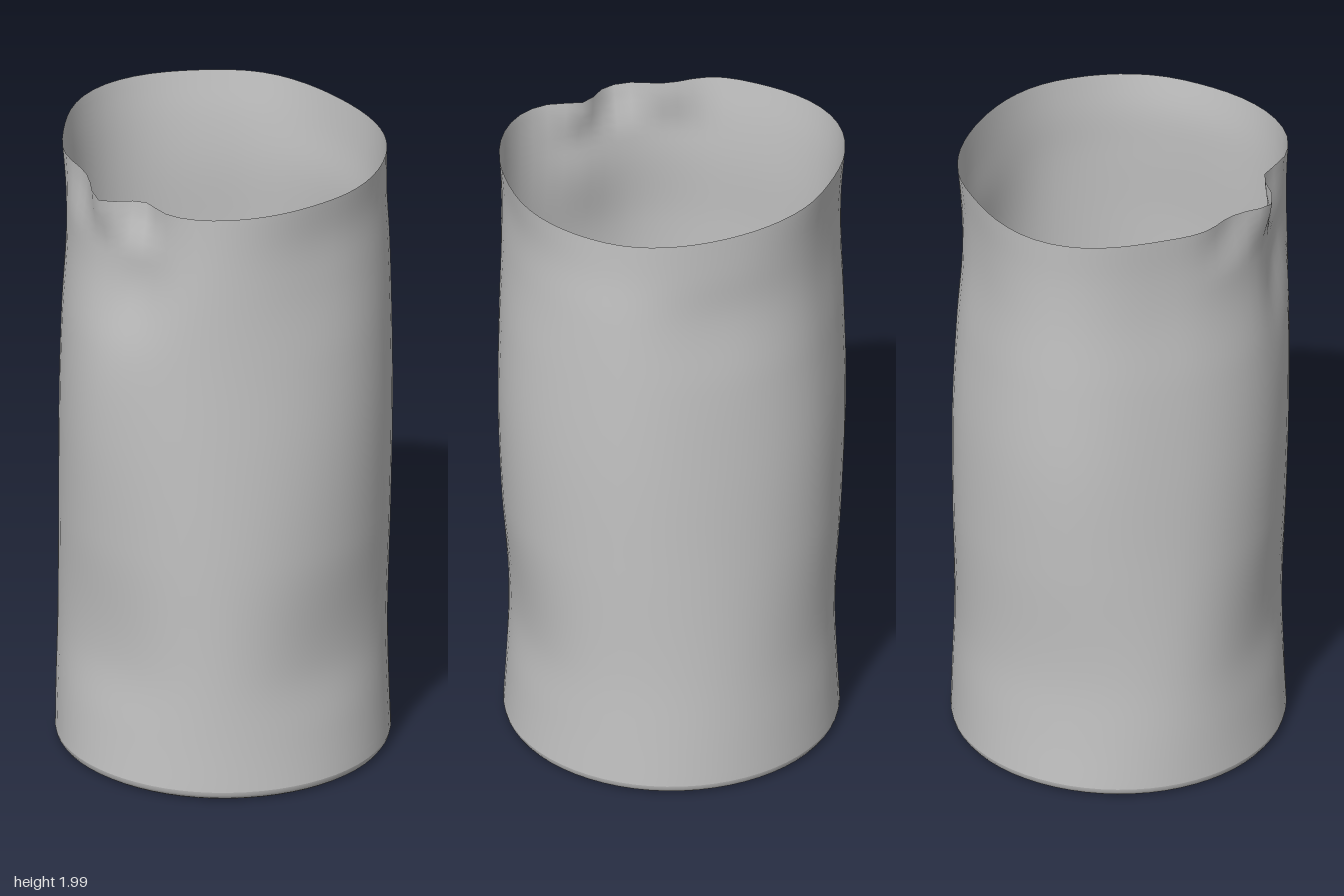
import * as THREE from 'three';

const SIDES = 64;

// Wall radius in eight directions by height: left (+x), left front, front (+z),
// right front, right (-x), right back, back (-z), left back
const HEIGHTS = [0.04, 0.2, 0.4, 0.8, 1.15, 1.45, 1.7, 1.85, 2.0];
const RADII = [
  0.515, 0.515, 0.510, 0.512, 0.510, 0.512, 0.510, 0.512,
  0.500, 0.512, 0.495, 0.510, 0.500, 0.506, 0.507, 0.506,
  0.482, 0.512, 0.476, 0.505, 0.495, 0.498, 0.502, 0.502,
  0.520, 0.522, 0.500, 0.502, 0.522, 0.512, 0.497, 0.512,
  0.535, 0.527, 0.513, 0.500, 0.538, 0.515, 0.492, 0.518,
  0.526, 0.530, 0.505, 0.492, 0.535, 0.500, 0.482, 0.515,
  0.506, 0.535, 0.478, 0.478, 0.528, 0.482, 0.465, 0.508,
  0.500, 0.538, 0.475, 0.480, 0.530, 0.485, 0.472, 0.500,
  0.515, 0.542, 0.475, 0.492, 0.540, 0.500, 0.477, 0.500,
];
const profile = new THREE.CubicInterpolant(HEIGHTS, RADII, 8);

const bump = (d, width) => Math.exp(-(d * d) / (width * width));

// Smallest signed angle between two directions
const turn = (a, b) => Math.atan2(Math.sin(a - b), Math.cos(a - b));

function wallRadius(a, y) {
  const radii = profile.evaluate(y);
  const k = a / (Math.PI / 4), i = Math.floor(k);
  const w = (1 - Math.cos((k - i) * Math.PI)) / 2;
  let r = THREE.MathUtils.lerp(radii[i % 8], radii[(i + 1) % 8], w);
  // slanting dent and the pinched folds of the mouth, at the front
  const front = turn(a, Math.PI / 2);
  const mouth = THREE.MathUtils.smoothstep(y, 1.78, 1.96);
  r -= 0.025 * bump(front + 0.25 + (y - 1.6) * 0.6, 0.2) * bump(y - 1.72, 0.2);
  r += mouth * (0.035 * bump(front, 0.14) - 0.045 * bump(front + 0.29, 0.15)
    - 0.025 * bump(front - 0.35, 0.18));
  return r;
}

// Height of the uneven mouth edge
function rimHeight(a) {
  const front = turn(a, Math.PI / 2);
  return 1.985 - 0.009 * Math.cos(a) - 0.025 * bump(front, 0.6)
    - 0.01 * bump(front, 0.1) + 0.008 * bump(turn(a, -2.2), 0.5);
}

// Joins rings of points into one smooth surface
function ringSurface(rows, point) {
  const pos = [], index = [];
  for (let j = 0; j <= rows; j++)
    for (let i = 0; i < SIDES; i++) pos.push(...point((i / SIDES) * Math.PI * 2, j / rows));
  for (let j = 0; j < rows; j++)
    for (let i = 0; i < SIDES; i++) {
      const a = j * SIDES + i, b = j * SIDES + ((i + 1) % SIDES);
      index.push(a, a + SIDES, b, b, a + SIDES, b + SIDES);
    }
  const g = new THREE.BufferGeometry();
  g.setAttribute('position', new THREE.Float32BufferAttribute(pos, 3));
  g.setIndex(index);
  g.computeVertexNormals();
  return g;
}

export function createModel() {
  const group = new THREE.Group();
  const grey = new THREE.MeshStandardMaterial({ color: 0xc4c4c4, side: THREE.DoubleSide });
  grey.name = 'light grey';
  const add = (name, geometry) => {
    const mesh = new THREE.Mesh(geometry, grey);
    mesh.name = name;
    group.add(mesh);
  };

  // Crumpled open wall
  add('wall', ringSurface(60, (a, t) => {
    const y = THREE.MathUtils.lerp(0.04, rimHeight(a), t);
    const r = wallRadius(a, y);
    return [r * Math.cos(a), y, r * Math.sin(a)];
  }));

  // Rounded lower edge
  add('baseEdge', ringSurface(4, (a, t) => {
    const q = t * Math.PI / 2;
    const r = wallRadius(a, 0.04) - 0.03 * (1 - Math.sin(q));
    return [r * Math.cos(a), 0.04 - 0.03 * Math.cos(q), r * Math.sin(a)];
  }));

  // Flat underside
  const base = new THREE.CircleGeometry(0.483, SIDES).rotateX(Math.PI / 2);
  base.translate(0, 0.01, 0);
  add('base', base);

  // Wrinkled inner floor
  add('innerFloor', ringSurface(20, (a, t) => {
    const r = 0.495 * (1 - t * 0.999);
    const x = r * Math.cos(a), z = r * Math.sin(a);
    const along = (x - 0.22) * 0.64 + (z - 0.25) * -0.77;
    const across = (x - 0.22) * 0.77 + (z - 0.25) * 0.64;
    const y = 0.05
      + 0.07 * bump(x + 0.4 - z * 0.3, 0.07) * bump(z - 0.05, 0.25)
      + 0.04 * bump(x + 0.12, 0.09) * bump(z - 0.25, 0.18)
      - 0.03 * bump(across, 0.06) * bump(along, 0.2);
    return [x, y, z];
  }));

  return group;
}
